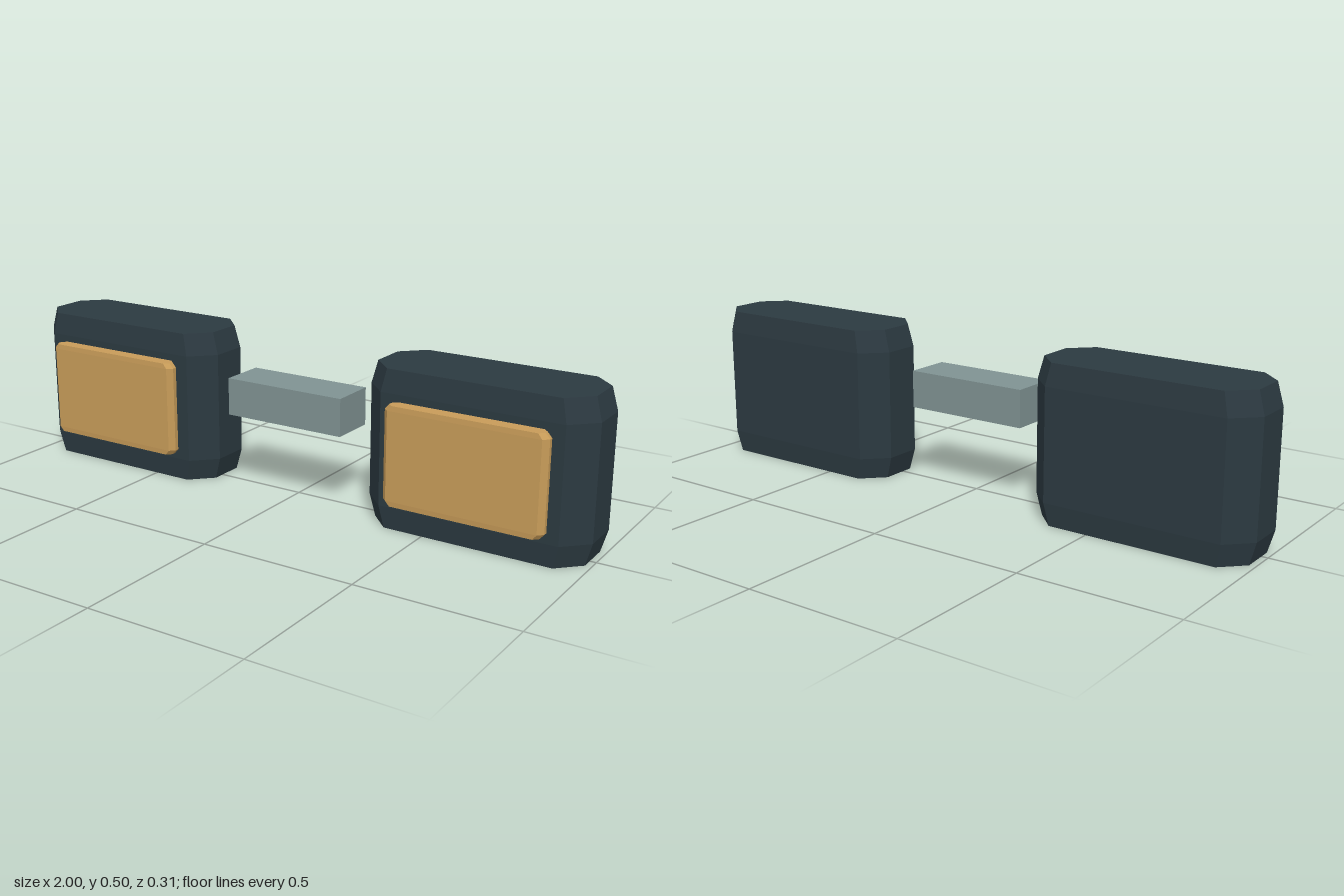
import * as THREE from 'three';

// Octagonal upright block whose top and bottom rims taper inward
function taperedBlock(halfW, halfD, height, chamfer, rim, taper = 0.945) {
  const a = halfW - chamfer, b = halfD - chamfer;
  const outline = [
    [halfW, -b], [halfW, b], [a, halfD], [-a, halfD],
    [-halfW, b], [-halfW, -b], [-a, -halfD], [a, -halfD],
  ];
  const rings = [[0, taper], [rim, 1], [height - rim, 1], [height, taper]];
  const positions = [], index = [], n = outline.length;
  for (const [y, s] of rings) for (const [x, z] of outline) positions.push(x * s, y, z * s);
  // side walls
  for (let r = 0; r < rings.length - 1; r++) {
    for (let i = 0; i < n; i++) {
      const p = r * n + i, q = r * n + (i + 1) % n;
      index.push(p, p + n, q, q, p + n, q + n);
    }
  }
  // bottom and top caps
  const top = (rings.length - 1) * n;
  for (let i = 1; i < n - 1; i++) {
    index.push(0, i, i + 1);
    index.push(top, top + i + 1, top + i);
  }
  const indexed = new THREE.BufferGeometry();
  indexed.setAttribute('position', new THREE.Float32BufferAttribute(positions, 3));
  indexed.setIndex(index);
  const geometry = indexed.toNonIndexed();
  geometry.computeVertexNormals();
  return geometry;
}

function material(name, color) {
  const m = new THREE.MeshStandardMaterial({ color, flatShading: true });
  m.name = name;
  return m;
}

export function createModel() {
  const model = new THREE.Group();
  model.name = 'twinPouches';
  const dark = material('darkSlate', 0x2c3a41);
  const gold = material('tan', 0xc89c59);
  const grey = material('greyTeal', 0x809393);

  const add = (name, geometry, mat, x, y, z) => {
    const mesh = new THREE.Mesh(geometry, mat);
    mesh.name = name;
    mesh.position.set(x, y, z);
    model.add(mesh);
  };

  // Two mirrored bodies, each with a raised front panel
  const body = taperedBlock(0.3575, 0.1335, 0.495, 0.072, 0.071);
  const panel = taperedBlock(0.254, 0.023, 0.308, 0.016, 0.016);
  for (const [side, s] of [['left', 1], ['right', -1]]) {
    add(side + 'Body', body, dark, s * 0.6425, 0, -0.0215);
    add(side + 'FrontPanel', panel, gold, s * 0.6425, 0.094, 0.134);
  }

  // Centre bar between the bodies
  add('centreBar', new THREE.BoxGeometry(0.414, 0.12, 0.15), grey, 0, 0.311, 0.015);
  return model;
}
